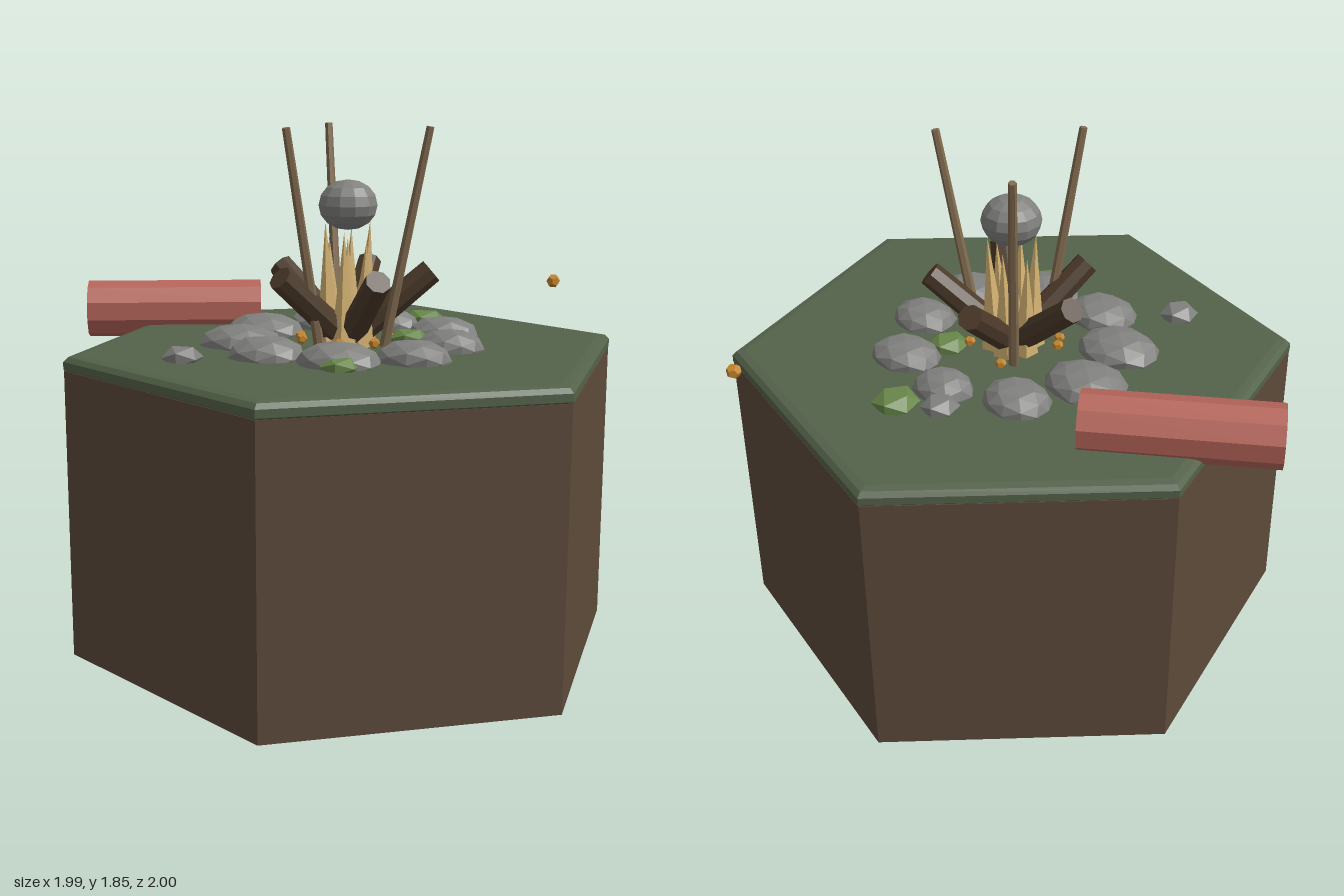
import * as THREE from 'three';

const CX = 0.125; // fire centre on x
const TOP = 1.08; // grass level

export function createModel() {
  const root = new THREE.Group();
  root.name = 'campfireIsland';
  const mat = (name, color) => {
    const m = new THREE.MeshStandardMaterial({ color, flatShading: true });
    m.name = name;
    return m;
  };
  const soil = mat('soil', 0x5c4a3a);
  const grass = mat('grass', 0x54624a);
  const stone = mat('stone', 0x80817e);
  const bark = mat('bark', 0x4c3a2a);
  const pole = mat('pole', 0x826b50);
  const flame = mat('flame', 0xd6b473);
  const ember = mat('ember', 0xc4862f);
  const moss = mat('moss', 0x68874a);
  const redWood = mat('redWood', 0xb5655a);

  const add = (name, geo, material, x = 0, y = 0, z = 0, parent = root) => {
    const m = new THREE.Mesh(geo, material);
    m.name = name;
    m.position.set(x, y, z);
    parent.add(m);
    return m;
  };
  const group = (name) => {
    const g = new THREE.Group();
    g.name = name;
    root.add(g);
    return g;
  };
  // tapered cylinder between two points
  const rod = (name, a, b, ra, rb, sides, material, parent = root) => {
    const A = new THREE.Vector3(...a), B = new THREE.Vector3(...b);
    const d = B.clone().sub(A);
    const m = add(name, new THREE.CylinderGeometry(rb, ra, d.length(), sides), material, 0, 0, 0, parent);
    m.position.copy(A).add(B).multiplyScalar(0.5);
    m.quaternion.setFromUnitVectors(new THREE.Vector3(0, 1, 0), d.normalize());
    return m;
  };
  // faceted rock, roughened by a position rule so shared corners stay joined
  const rock = (name, x, y, z, rx, ry, rz, detail, material, parent) => {
    const g = new THREE.IcosahedronGeometry(1, detail);
    const p = g.attributes.position;
    for (let i = 0; i < p.count; i++) {
      const px = p.getX(i), py = p.getY(i), pz = p.getZ(i);
      const k = 1 + 0.04 * Math.sin(px * 5 + x * 31 + py * 7) * Math.cos(pz * 6 + z * 17);
      p.setXYZ(i, px * rx * k, py * ry * k, pz * rz * k);
    }
    g.computeVertexNormals();
    return add(name, g, material, x, y, z, parent);
  };

  // hexagonal block of earth with a bevelled turf cap
  add('soilBlock', new THREE.CylinderGeometry(1, 1, 1.03, 6), soil, CX, 0.515, 0);
  const capProfile = [[0, 1.02], [0.985, 1.02], [1.002, 1.035], [1.002, 1.062], [0.985, 1.078], [0.955, 1.084], [0, 1.084]];
  add('turf', new THREE.LatheGeometry(capProfile.map(([x, y]) => new THREE.Vector2(x, y)), 6), grass, CX, 0, 0);

  // seat log over the left edge
  rod('seatLog', [-0.96, 1.135, -0.17], [-0.337, 1.135, -0.395], 0.108, 0.108, 10, redWood);

  // stone ring: x, z, half width, half depth
  const ring = group('fireRing');
  [
    [-0.07, -0.33, 0.125, 0.107], [0.19, -0.375, 0.11, 0.095], [0.415, -0.255, 0.13, 0.105],
    [0.495, 0, 0.12, 0.1], [0.425, 0.245, 0.13, 0.115], [0.2, 0.37, 0.145, 0.125],
    [-0.07, 0.325, 0.135, 0.115], [-0.23, 0.13, 0.15, 0.122], [-0.23, -0.13, 0.15, 0.122],
  ].forEach(([x, z, rx, rz], i) =>
    rock('ringStone' + i, x, TOP + 0.01, z, rx, 0.055 + rx * 0.1, rz, 1, stone, ring));

  // loose pebbles and mossy lumps
  const loose = group('looseRocks');
  [[0.14, -0.48, 0.068], [-0.32, 0.46, 0.072], [0.2, 0.18, 0.05]].forEach(([x, z, r], i) =>
    rock('pebble' + i, x, TOP + 0.015, z, r, r * 0.6, r, 0, stone, loose));
  [[0.285, -0.525, 0.085], [0.32, -0.12, 0.075], [0.23, 0.46, 0.07]].forEach(([x, z, r], i) =>
    rock('mossLump' + i, x, TOP + 0.015, z, r, r * 0.5, r, 0, moss, loose));

  // five logs leaning outward
  const logs = group('fireLogs');
  for (let i = 0; i < 5; i++) {
    const a = (i / 5) * Math.PI * 2, s = Math.sin(a), c = -Math.cos(a);
    rod('fireLog' + i, [CX + s * 0.03, 1.12, c * 0.03], [CX + s * 0.295, 1.345, c * 0.295], 0.05, 0.045, 8, bark, logs);
  }

  // tripod poles
  const poles = group('tripod');
  for (let i = 0; i < 3; i++) {
    const a = (i / 3) * Math.PI * 2, c = Math.cos(a), s = Math.sin(a);
    rod('tripodPole' + i, [CX + c * 0.135, TOP, s * 0.135], [CX + c * 0.29, 1.85, s * 0.29], 0.019, 0.014, 6, pole, poles);
  }

  // flame spikes
  const flames = group('flames');
  for (let i = 0; i < 7; i++) {
    const a = i * 1.047 + 0.4, r = i === 6 ? 0 : 0.065;
    const x = CX + Math.cos(a) * r, z = Math.sin(a) * r, h = 1.46 + (i % 3) * 0.03;
    rod('flame' + i, [x, TOP, z], [x + Math.cos(a) * r * 0.3, h, z + Math.sin(a) * r * 0.3], 0.05, 0, 5, flame, flames);
  }

  // hanging pot
  add('pot', new THREE.SphereGeometry(0.106, 12, 8), stone, CX, 1.578, 0).scale.y = 0.83;

  // embers, one of them drifting away
  const embers = group('embers');
  [
    [0.74, 1.23, -0.79, 0.027], [-0.04, 1.11, 0.03, 0.02], [-0.02, 1.11, 0.08, 0.02], [0.25, 1.11, 0.1, 0.02],
    [0.08, 1.11, -0.17, 0.02], [0.25, 1.11, -0.09, 0.02], [0.14, 1.11, 0.15, 0.02],
  ].forEach(([x, y, z, r], i) => add('ember' + i, new THREE.DodecahedronGeometry(r, 0), ember, x, y, z, embers));

  return root;
}
